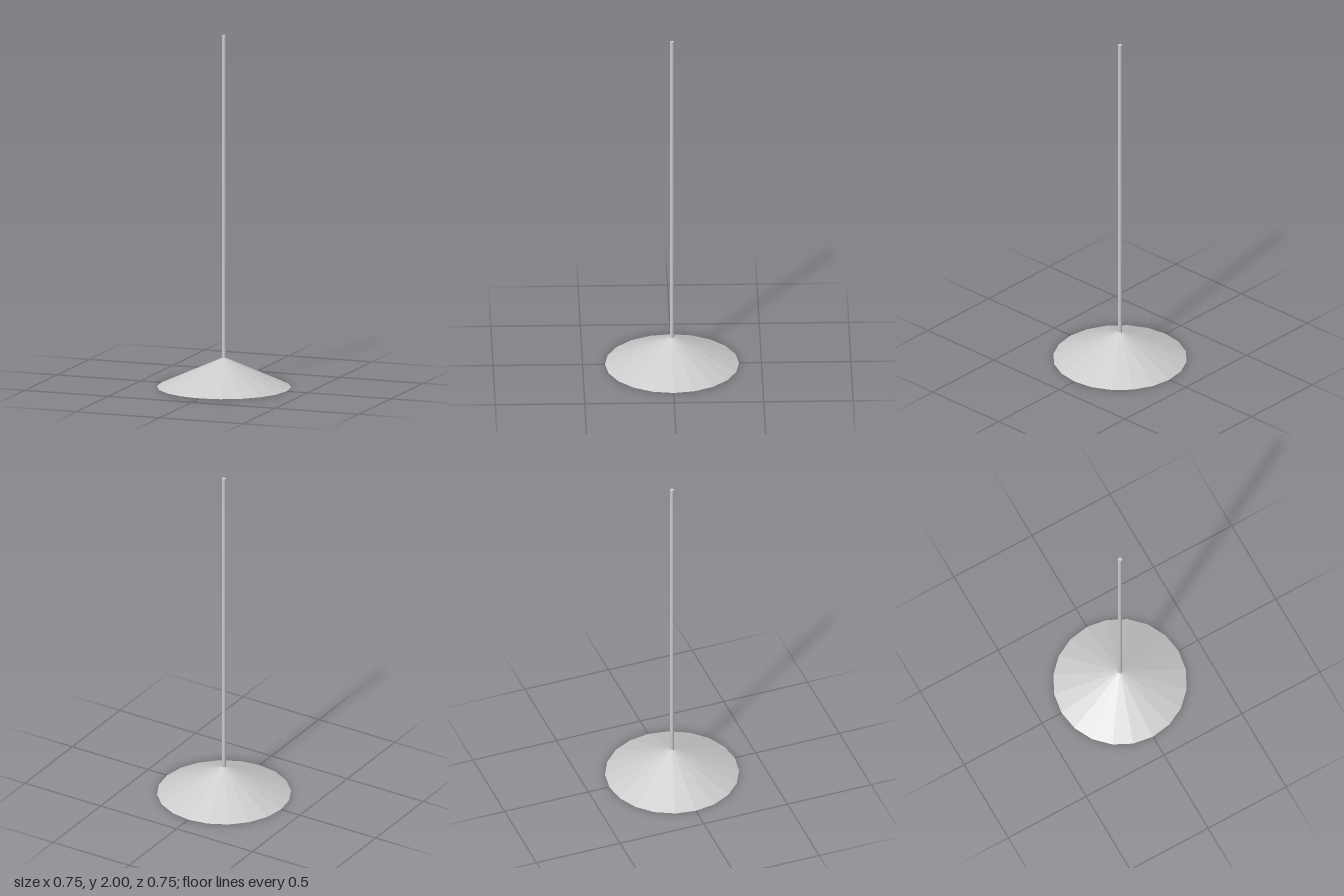
import * as THREE from 'three';

export function createModel() {
  const group = new THREE.Group();
  group.name = 'pendantLamp';
  const smooth = new THREE.MeshStandardMaterial({ color: 0xcccccc });
  const faceted = new THREE.MeshStandardMaterial({ color: 0xcccccc, flatShading: true, side: THREE.DoubleSide });

  const add = (name, geometry, material) => {
    const mesh = new THREE.Mesh(geometry, material);
    mesh.name = name;
    group.add(mesh);
    return mesh;
  };
  const profile = (pairs) => pairs.map(([r, y]) => new THREE.Vector2(r, y));

  // Faceted conical shade: inner cone, thin rim, outer cone
  add('shade', new THREE.LatheGeometry(
    profile([[0, 0.162], [0.362, 0], [0.375, 0], [0, 0.17]]), 20), faceted);

  // Long straight suspension rod
  const rodBottom = 0.162, rodTop = 2;
  add('rod', new THREE.CylinderGeometry(0.011, 0.011, rodTop - rodBottom, 20), smooth)
    .position.y = (rodTop + rodBottom) / 2;

  // Teardrop bulb hanging under the apex of the shade
  const bulbCurve = new THREE.SplineCurve(profile([
    [0, 0.008], [0.03, 0.017], [0.049, 0.038], [0.055, 0.064],
    [0.049, 0.092], [0.036, 0.122], [0.021, 0.147], [0.012, 0.158],
  ]));
  const bulbPoints = bulbCurve.getPoints(28);
  add('bulb', new THREE.LatheGeometry(bulbPoints, 28), smooth);

  return group;
}
